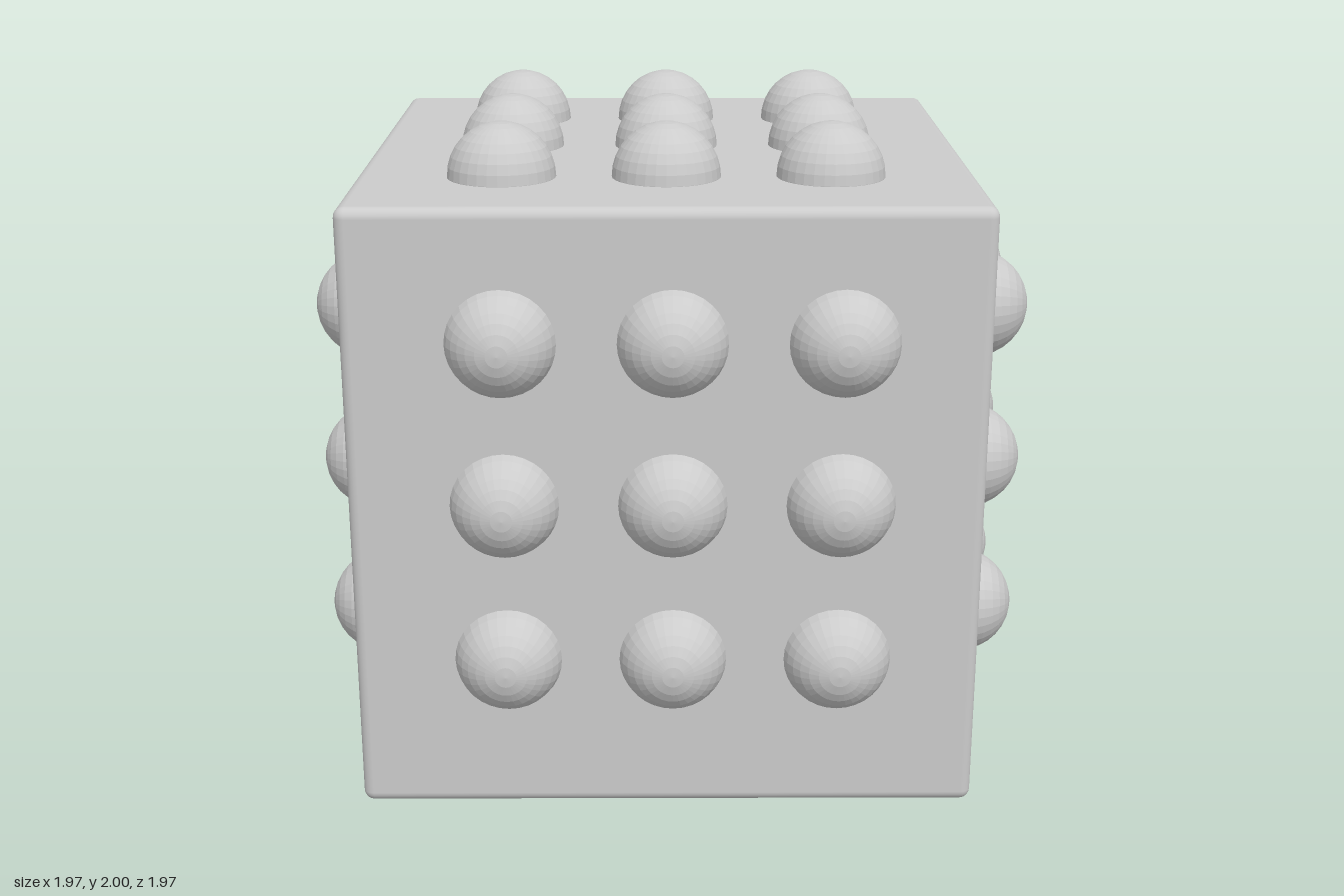
import * as THREE from 'three';
import { RoundedBoxGeometry } from 'three/addons/geometries/RoundedBoxGeometry.js';

export function createModel() {
  const group = new THREE.Group();
  group.name = 'studdedCube';
  const smooth = new THREE.MeshStandardMaterial({ color: 0xcccccc });
  const faceted = new THREE.MeshStandardMaterial({ color: 0xcccccc, flatShading: true });

  // Cube body with softly rounded edges
  const body = new THREE.Mesh(new RoundedBoxGeometry(1.704, 1.7, 1.704, 3, 0.03), smooth);
  body.name = 'cubeBody';
  body.position.set(-0.016, 1, 0.016);
  group.add(body);

  // Ball shared by all studs
  const ball = new THREE.SphereGeometry(0.149, 32, 16);
  const up = new THREE.Vector3(0, 1, 0);
  const spacing = 0.449;

  // Each face: name, outward normal, grid centre, and the two grid directions
  const X = [1, 0, 0], Y = [0, 1, 0], Z = [0, 0, 1];
  const faces = [
    ['front', [0, 0, 1], [0, 1.042, 0.838], X, Y],
    ['back', [0, 0, -1], [0, 1.042, -0.838], X, Y],
    ['left', [1, 0, 0], [0.838, 1.042, 0.016], Z, Y],
    ['right', [-1, 0, 0], [-0.838, 1.042, 0.016], Z, Y],
    ['top', [0, 1, 0], [-0.016, 1.851, 0.016], X, Z],
    ['bottom', [0, -1, 0], [-0.016, 0.149, 0.016], X, Z],
  ];

  // Three by three studs on every face, poles pointing outward
  for (const [name, normal, centre, u, v] of faces) {
    const studs = new THREE.Group();
    studs.name = name + 'Studs';
    for (let i = -1; i <= 1; i++) {
      for (let j = -1; j <= 1; j++) {
        const stud = new THREE.Mesh(ball, faceted);
        stud.name = name + 'Stud';
        stud.quaternion.setFromUnitVectors(up, new THREE.Vector3(...normal));
        stud.position.set(...centre)
          .addScaledVector(new THREE.Vector3(...u), i * spacing)
          .addScaledVector(new THREE.Vector3(...v), j * spacing);
        studs.add(stud);
      }
    }
    group.add(studs);
  }
  return group;
}
